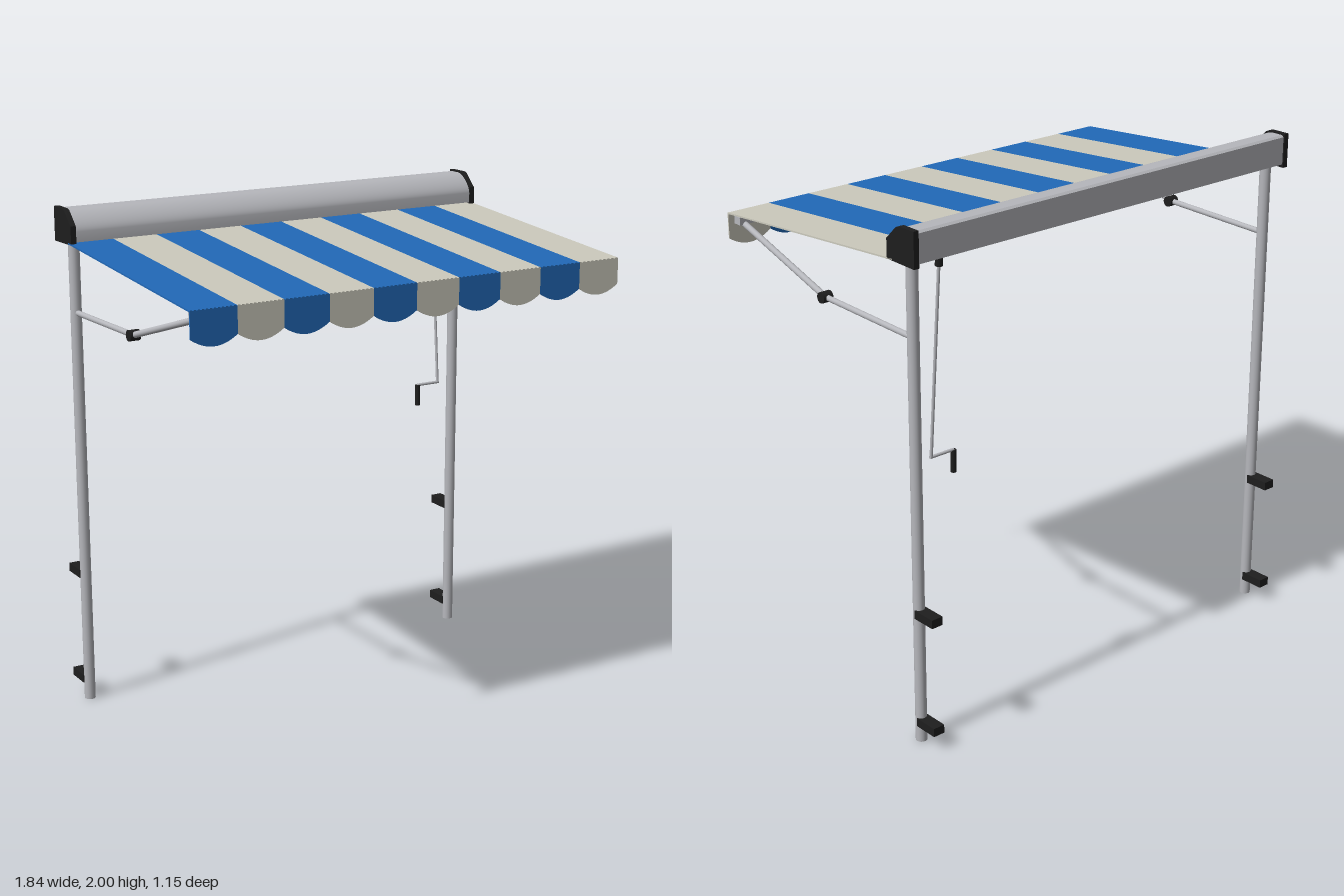
import * as THREE from 'three';
import { toCreasedNormals } from 'three/addons/utils/BufferGeometryUtils.js';

export function createModel() {
  const model = new THREE.Group();
  model.name = 'awning';
  const paint = (name, color, side = THREE.FrontSide) => {
    const m = new THREE.MeshStandardMaterial({ color, side });
    m.name = name;
    return m;
  };
  const metal = paint('aluminium grey', 0xb6b7bc);
  const black = paint('black plastic', 0x1e1e1e);
  const blue = paint('blue fabric', 0x2169b8, THREE.DoubleSide);
  const cream = paint('cream fabric', 0xcccabd, THREE.DoubleSide);

  const add = (name, geometry, material, x = 0, y = 0, z = 0) => {
    const mesh = new THREE.Mesh(geometry, material);
    mesh.name = name;
    mesh.position.set(x, y, z);
    model.add(mesh);
    return mesh;
  };
  // Round rod between two points
  const rod = (name, a, b, radius, material) => {
    const p = new THREE.Vector3(...a), q = new THREE.Vector3(...b);
    const mesh = add(name, new THREE.CylinderGeometry(radius, radius, p.distanceTo(q), 16), material);
    mesh.position.copy(p).lerp(q, 0.5);
    mesh.quaternion.setFromUnitVectors(new THREE.Vector3(0, 1, 0), q.sub(p).normalize());
    return mesh;
  };
  // Side profile, drawn as (-z, y), extruded along x and centred
  const sideExtrude = (shape, width) => {
    const g = new THREE.ExtrudeGeometry(shape, { depth: width, bevelEnabled: false, curveSegments: 12 });
    g.translate(0, 0, -width / 2);
    g.rotateY(Math.PI / 2);
    return toCreasedNormals(g, 0.5);
  };

  // Roller cassette with a rounded front
  const cover = new THREE.Shape();
  cover.moveTo(0.393, 1.88);
  cover.lineTo(0.535, 1.88);
  cover.lineTo(0.535, 1.988);
  cover.lineTo(0.525, 1.995);
  cover.lineTo(0.475, 1.995);
  cover.bezierCurveTo(0.44, 1.992, 0.396, 1.95, 0.393, 1.92);
  cover.closePath();
  add('cassette', sideExtrude(cover, 1.8), metal);

  const cap = new THREE.Shape([
    [0.39, 1.87], [0.54, 1.867], [0.54, 2], [0.46, 2], [0.445, 1.994], [0.392, 1.943],
  ].map(([z, y]) => new THREE.Vector2(z, y)));

  for (const s of [-1, 1]) {
    const side = s > 0 ? 'left' : 'right', x = s * 0.875;
    add(side + 'EndCap', sideExtrude(cap, 0.022), black, s * 0.909);

    // Post with wall brackets
    rod(side + 'Post', [x, 0, -0.47], [x, 1.88, -0.47], 0.022, metal);
    for (const y of [0.083, 0.533])
      add(side + 'WallBracket', new THREE.BoxGeometry(0.048, 0.034, 0.1), black, x, y, -0.525);

    // Folding arm with elbow and end joint
    rod(side + 'RearArm', [x, 1.595, -0.46], [x, 1.605, 0.035], 0.011, metal);
    rod(side + 'FrontArm', [x, 1.605, 0.035], [x, 1.76, 0.54], 0.012, metal);
    rod(side + 'Elbow', [x - 0.021, 1.605, 0.035], [x + 0.021, 1.605, 0.035], 0.021, black);
  }

  // Front bar
  add('frontBar', new THREE.BoxGeometry(1.8, 0.03, 0.036), metal, 0, 1.772, 0.543);

  // Striped canopy and scalloped valance
  const stripes = 10, width = 1.84 / stripes;
  const back = new THREE.Vector2(-0.42, 1.874), front = new THREE.Vector2(0.572, 1.798);
  const run = back.distanceTo(front), tilt = Math.atan2(back.y - front.y, front.x - back.x);
  const scallop = new THREE.Shape();
  scallop.moveTo(-width / 2, 1.8);
  scallop.lineTo(-width / 2, 1.7);
  scallop.quadraticCurveTo(0, 1.634, width / 2, 1.7);
  scallop.lineTo(width / 2, 1.8);
  scallop.closePath();
  const flap = new THREE.ExtrudeGeometry(scallop, { depth: 0.005, bevelEnabled: false, curveSegments: 14 });
  for (let i = 0; i < stripes; i++) {
    const x = -0.92 + (i + 0.5) * width, fabric = i % 2 ? cream : blue;
    const strip = add('canopyStripe', new THREE.BoxGeometry(width, 0.006, run), fabric,
      x, (back.y + front.y) / 2, (back.x + front.x) / 2);
    strip.rotation.x = tilt;
    add('valanceFlap', flap, fabric, x, 0, 0.57);
  }

  // Winding crank hanging beside the left post
  rod('crankSocket', [0.78, 1.84, -0.497], [0.78, 1.885, -0.499], 0.014, black);
  rod('crankRod', [0.78, 1.85, -0.497], [0.78, 1.108, -0.437], 0.006, metal);
  rod('crankArm', [0.785, 1.108, -0.437], [0.678, 1.108, -0.437], 0.006, metal);
  rod('crankHandle', [0.678, 1.108, -0.437], [0.678, 1.02, -0.435], 0.011, black);

  return model;
}
